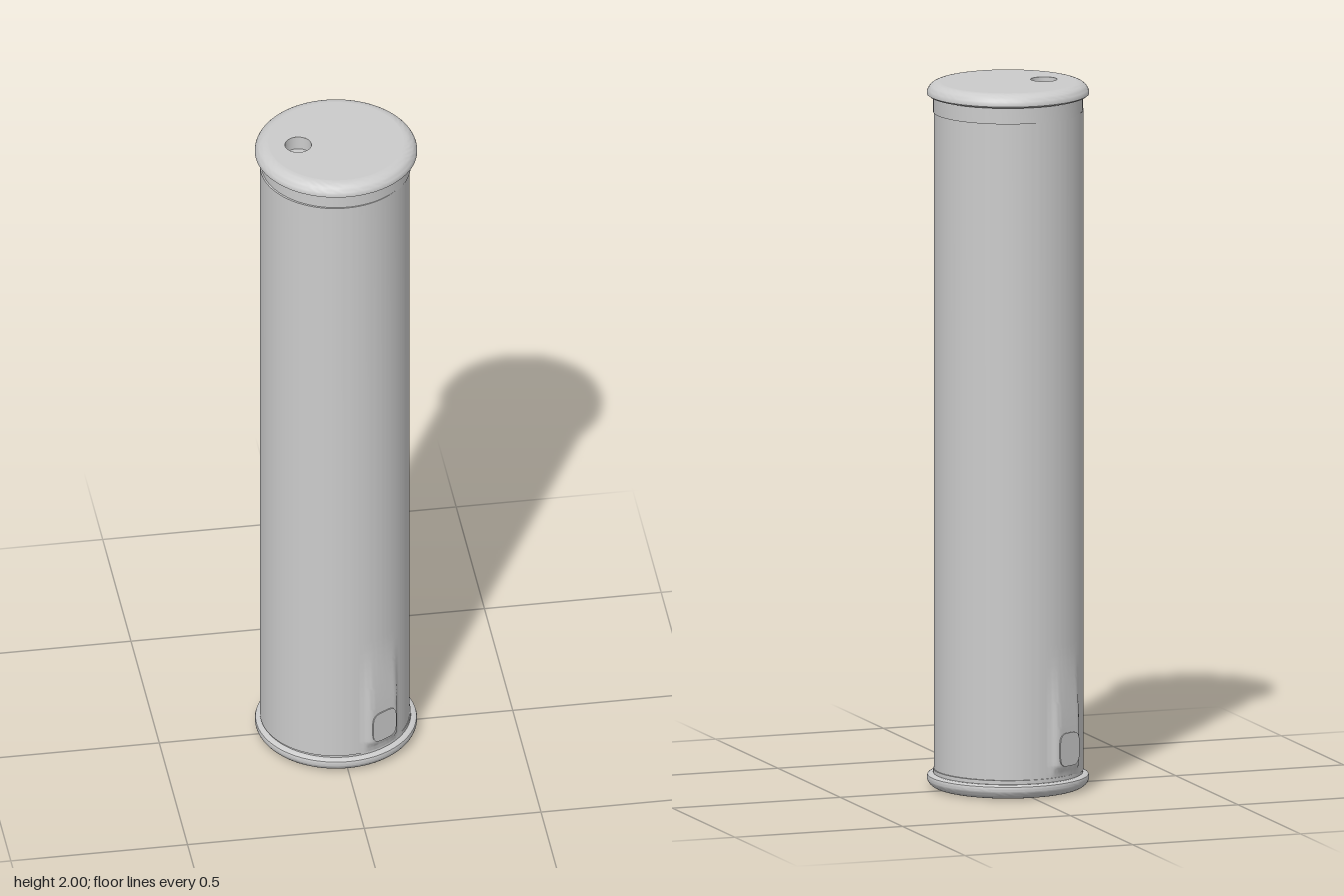
import * as THREE from 'three';
import { toCreasedNormals } from 'three/addons/utils/BufferGeometryUtils.js';

const BODY_R = 0.209;
const FACE_R = 0.222; // distance of the flat buttons from the axis
const BUTTON_Y = 0.13;
const BUTTON_ANGLES = [Math.PI / 6, Math.PI / 6 + Math.PI];

const material = new THREE.MeshStandardMaterial({ color: 0xcccccc });
const openMaterial = new THREE.MeshStandardMaterial({ color: 0xcccccc, side: THREE.DoubleSide });

function mesh(name, geometry, mat = material) {
  const m = new THREE.Mesh(geometry, mat);
  m.name = name;
  return m;
}

function lathe(points, segments = 96) {
  const pts = points.map(([r, y]) => new THREE.Vector2(r, y));
  return toCreasedNormals(new THREE.LatheGeometry(pts, segments), 0.6);
}

// Tube wall, swelling smoothly into a flat boss around each button
function bodyGeometry() {
  const pts = [new THREE.Vector2(0.18, 0.05)];
  for (let i = 0; i <= 40; i++) pts.push(new THREE.Vector2(BODY_R, 0.05 + 0.01 * i));
  pts.push(new THREE.Vector2(BODY_R, 1.2), new THREE.Vector2(BODY_R, 1.92), new THREE.Vector2(0.18, 1.92));
  const geo = new THREE.LatheGeometry(pts, 192);
  const pos = geo.attributes.position;
  const step = THREE.MathUtils.smoothstep;
  for (let i = 0; i < pos.count; i++) {
    const x = pos.getX(i), y = pos.getY(i), z = pos.getZ(i);
    const r = Math.hypot(x, z);
    if (r < BODY_R - 0.001) continue;
    for (const a of BUTTON_ANGLES) {
      const out = x * Math.sin(a) + z * Math.cos(a);
      const side = Math.abs(x * Math.cos(a) - z * Math.sin(a));
      if (out < 0 || side > 0.08) continue;
      const w = (1 - step(side, 0.036, 0.066)) * step(y, 0.055, 0.085) * (1 - step(y, 0.16, 0.42));
      const target = (FACE_R - 0.003) / (out / r);
      const k = 1 + (w * Math.max(0, target - r)) / r;
      pos.setXYZ(i, x * k, y, z * k);
    }
  }
  return toCreasedNormals(geo, 0.7);
}

// Rounded flat button, facing +z
function buttonGeometry() {
  const w = 0.041, h = 0.047, c = 0.028;
  const s = new THREE.Shape();
  s.moveTo(-w + c, -h);
  s.lineTo(w - c, -h);
  s.quadraticCurveTo(w, -h, w, -h + c);
  s.lineTo(w, h - c);
  s.quadraticCurveTo(w, h, w - c, h);
  s.lineTo(-w + c, h);
  s.quadraticCurveTo(-w, h, -w, h - c);
  s.lineTo(-w, -h + c);
  s.quadraticCurveTo(-w, -h, -w + c, -h);
  const geo = new THREE.ExtrudeGeometry(s, { depth: 0.03, bevelEnabled: false, curveSegments: 10 });
  geo.translate(0, 0, -0.03);
  return toCreasedNormals(geo, 0.6);
}

// Rounded rim from the widest radius to the flat end face
function rimCurve(bottomY, height) {
  const out = [];
  for (let i = 0; i <= 8; i++) {
    const t = (i / 8) * Math.PI / 2;
    out.push([0.19 + 0.037 * Math.cos(t), bottomY + height * Math.sin(t)]);
  }
  return out;
}

export function createModel() {
  const group = new THREE.Group();
  group.name = 'cylinderDevice';

  // Body, set slightly off the cap axis
  const body = new THREE.Group();
  body.name = 'body';
  body.position.set(-0.004, 0, 0.004);
  body.add(mesh('tube', bodyGeometry()));
  const button = buttonGeometry();
  BUTTON_ANGLES.forEach((a, i) => {
    const b = mesh(i ? 'backButton' : 'frontButton', button);
    b.position.set(FACE_R * Math.sin(a), BUTTON_Y, FACE_R * Math.cos(a));
    b.rotation.y = a;
    body.add(b);
  });
  group.add(body);

  // Short necks between the tube and the caps
  for (const [name, y0, y1] of [['lowerNeck', 0.03, 0.053], ['upperNeck', 1.915, 1.97]]) {
    group.add(mesh(name, lathe([[0.17, y0], [BODY_R, y0], [BODY_R, y1], [0.17, y1]])));
  }

  // Bottom cap
  const lower = rimCurve(0, 0.03).map(([r, y]) => [r, 0.03 - y]).reverse();
  group.add(mesh('bottomCap', lathe([[0, 0], ...lower, [0.225, 0.037], [0.217, 0.042], [0.19, 0.042]])));

  // Top cap: rim, end face with a round hole, and the recess below it
  const top = new THREE.Group();
  top.name = 'topCap';
  top.add(mesh('topRim', lathe([[0.19, 1.962], [0.22, 1.962], [0.227, 1.967], ...rimCurve(1.968, 0.032)])));
  const disc = new THREE.Shape().absarc(0, 0, 0.19, 0, Math.PI * 2, false);
  disc.holes.push(new THREE.Path().absarc(-0.107, 0, 0.037, 0, Math.PI * 2, true));
  const face = mesh('topFace', new THREE.ShapeGeometry(disc, 48));
  face.rotation.x = -Math.PI / 2;
  face.position.y = 2;
  top.add(face);
  const wall = mesh('holeWall', new THREE.CylinderGeometry(0.037, 0.037, 0.04, 48, 1, true), openMaterial);
  wall.position.set(-0.107, 1.98, 0);
  const floor = mesh('holeFloor', new THREE.CircleGeometry(0.037, 48));
  floor.rotation.x = -Math.PI / 2;
  floor.position.set(-0.107, 1.96, 0);
  top.add(wall, floor);
  group.add(top);

  return group;
}
